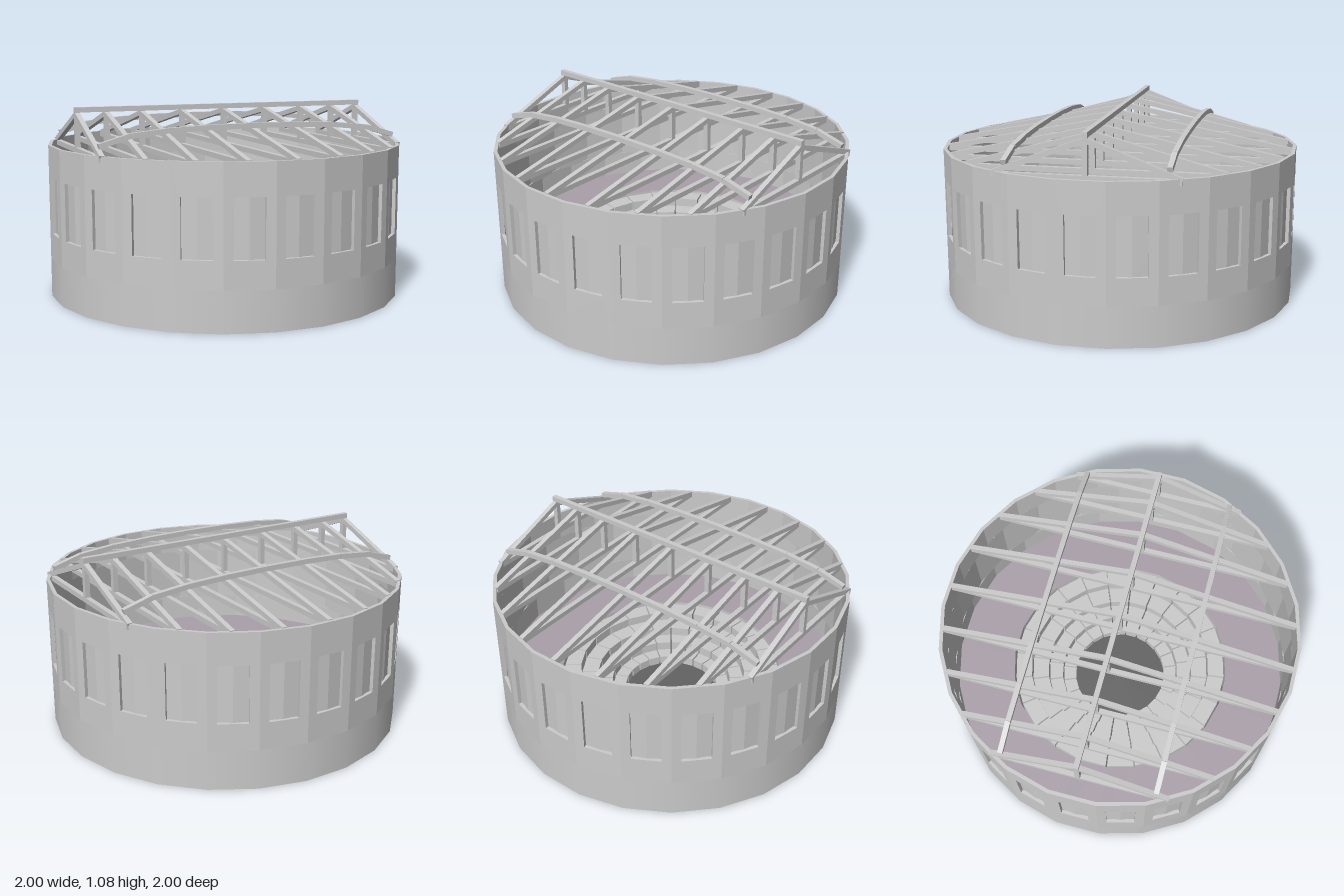
import * as THREE from 'three';

const SIDES = 24, STEP = (Math.PI * 2) / SIDES, HALF = STEP / 2;
const R = 1 / Math.cos(HALF);            // corner radius for a wall one unit from the centre
const BASE = 0.22, TOP = 0.86, RIDGE = 1.035, BEAM = 0.028;

const grey = new THREE.MeshStandardMaterial({ color: 0xcccccc });
const greyFlat = new THREE.MeshStandardMaterial({ color: 0xcccccc, flatShading: true, side: THREE.DoubleSide });
const floorMat = new THREE.MeshStandardMaterial({ color: 0xaaa0aa, side: THREE.DoubleSide });
const pitMat = new THREE.MeshStandardMaterial({ color: 0x636363 });

function add(parent, name, geometry, material = grey) {
  const mesh = new THREE.Mesh(geometry, material);
  mesh.name = name;
  parent.add(mesh);
  return mesh;
}

function group(parent, name) {
  const g = new THREE.Group();
  g.name = name;
  parent.add(g);
  return g;
}

// Square timber between two points
function beam(parent, name, a, b, size = BEAM) {
  const from = new THREE.Vector3(...a), to = new THREE.Vector3(...b);
  const mesh = add(parent, name, new THREE.BoxGeometry(size, size, from.distanceTo(to)));
  mesh.position.copy(from).add(to).multiplyScalar(0.5);
  if (Math.abs(to.x - from.x) + Math.abs(to.z - from.z) < 1e-6) mesh.rotation.x = Math.PI / 2;
  else mesh.lookAt(to);
  return mesh;
}

// One wall facet with a window opening
function panelGeometry() {
  const w = Math.tan(HALF);
  const shape = new THREE.Shape([[-w, BASE], [w, BASE], [w, TOP], [-w, TOP]].map(p => new THREE.Vector2(...p)));
  shape.holes.push(new THREE.Path([[-0.08, 0.37], [-0.08, 0.685], [0.08, 0.685], [0.08, 0.37]].map(p => new THREE.Vector2(...p))));
  return new THREE.ExtrudeGeometry(shape, { depth: 0.02, bevelEnabled: false }).translate(0, 0, 0.98);
}

// One block of a seating tier
function tierGeometry(inner, outer, height) {
  const gap = 0.004, t = Math.tan(HALF);
  const shape = new THREE.Shape([
    [-inner * t + gap, -inner], [-outer * t + gap, -outer],
    [outer * t - gap, -outer], [inner * t - gap, -inner],
  ].map(p => new THREE.Vector2(...p)));
  return new THREE.ExtrudeGeometry(shape, { depth: height, bevelEnabled: false }).rotateX(-Math.PI / 2);
}

export function createModel() {
  const model = new THREE.Group();
  model.name = 'roundBuilding';

  // Base drum, underside and inner floor
  add(model, 'base', new THREE.CylinderGeometry(R, R, BASE, SIDES, 1, true, HALF).translate(0, BASE / 2, 0));
  add(model, 'underside', new THREE.CircleGeometry(R, SIDES, HALF).rotateX(Math.PI / 2));
  add(model, 'floor', new THREE.RingGeometry(0.645 / Math.cos(HALF), 0.995, SIDES, 1, HALF)
    .rotateX(-Math.PI / 2).translate(0, BASE, 0), floorMat);

  // Walls and glazing band
  const walls = group(model, 'walls');
  const panel = panelGeometry();
  for (let i = 0; i < SIDES; i++) add(walls, 'wallPanel', panel).rotation.y = i * STEP;
  add(model, 'windowPanes', new THREE.CylinderGeometry(0.986, 0.986, 0.33, SIDES, 1, true).translate(0, 0.5275, 0), greyFlat);

  // Sunken seating around a dark pit
  const seating = group(model, 'seating');
  add(seating, 'pitFloor', new THREE.CircleGeometry(0.66, SIDES, HALF).rotateX(-Math.PI / 2).translate(0, 0.008, 0), pitMat);
  add(seating, 'pitWall', new THREE.CylinderGeometry(0.651, 0.651, BASE, SIDES, 1, true, HALF).translate(0, BASE / 2, 0), greyFlat);
  const radii = [0.275, 0.355, 0.44, 0.54, 0.64];
  for (let t = 0; t < 4; t++) {
    const block = tierGeometry(radii[t], radii[t + 1] - 0.005, 0.05 * (t + 1) + 0.01);
    for (let i = 0; i < SIDES; i++) add(seating, 'tierBlock', block).rotation.y = i * STEP;
  }

  // Roof trusses, one for each pair of opposite windows
  const roof = group(model, 'roof');
  const stations = [];
  for (let i = -4; i <= 4; i++) {
    const x = Math.sin(i * STEP) * (Math.abs(i) === 4 ? 1.0 : 0.99);
    stations.push({ x, end: Math.cos(i * STEP) * 0.98 });
  }
  for (const { x, end } of stations) {
    const truss = group(roof, 'truss');
    beam(truss, 'tieBeam', [x, TOP - 0.018, -end], [x, TOP - 0.018, end]);
    beam(truss, 'kingPost', [x, TOP - 0.01, 0], [x, 1.05, 0]);
    for (const s of [-1, 1]) beam(truss, 'rafter', [x, RIDGE, 0], [x, TOP - 0.01, s * end]);
  }

  // Ridge beam and the bent purlins lying on the rafters
  beam(roof, 'ridgeBeam', [-0.882, 1.061, 0], [0.882, 1.061, 0]);
  const purlinY = end => RIDGE - (RIDGE - TOP + 0.01) * (0.425 / end) + 0.028;
  for (const z of [-0.425, 0.425]) {
    const purlin = group(roof, 'purlin');
    for (let i = 0; i < stations.length - 1; i++) {
      const a = stations[i], b = stations[i + 1];
      beam(purlin, 'purlinSegment', [a.x, purlinY(a.end), z], [b.x, purlinY(b.end), z]);
    }
  }
  return model;
}
